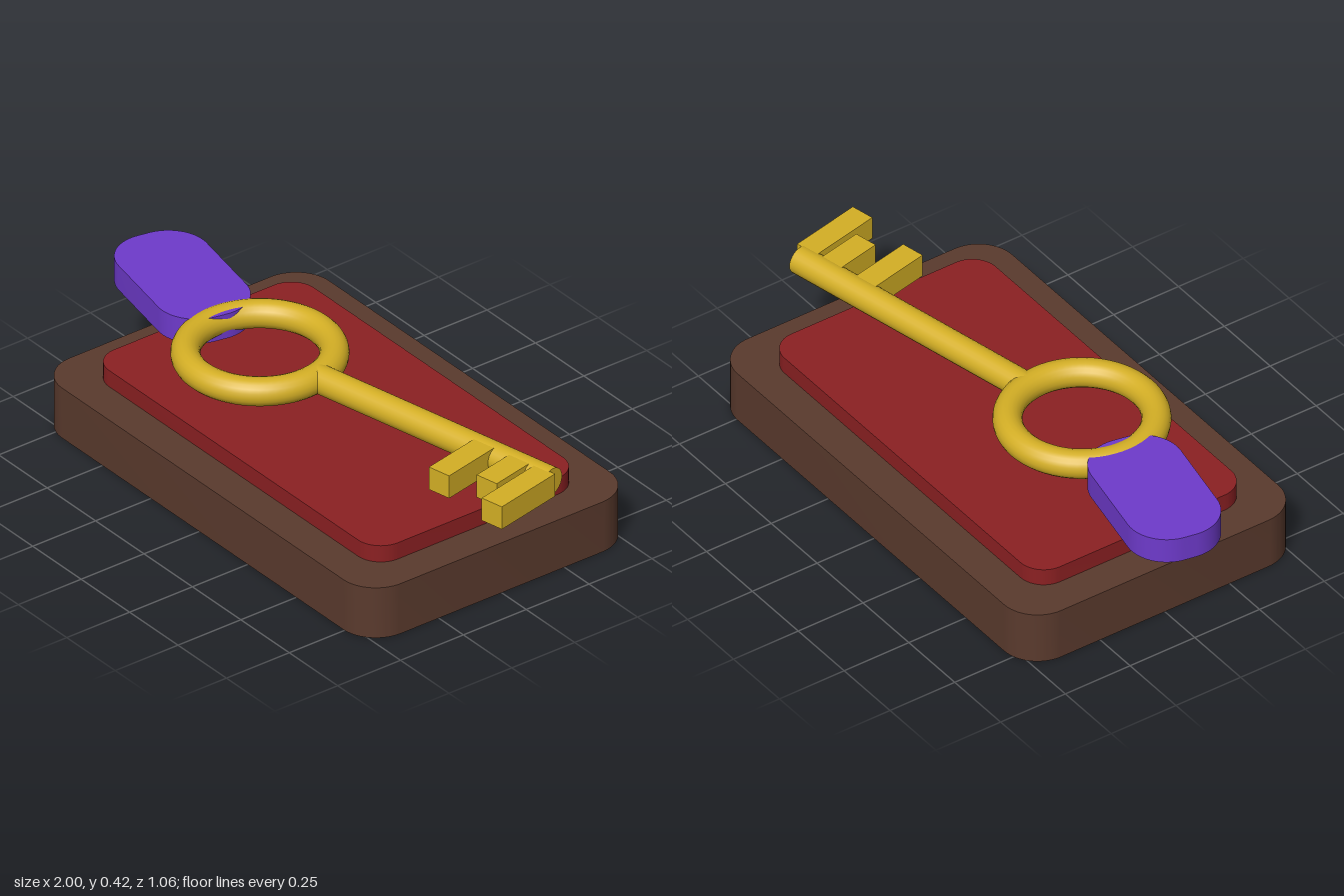
import * as THREE from 'three';
import { toCreasedNormals } from 'three/addons/utils/BufferGeometryUtils.js';

const material = (name, color) => {
  const m = new THREE.MeshStandardMaterial({ color });
  m.name = name;
  return m;
};

// Flat slab with rounded corners, lying in the xz plane with its underside at y = 0
function roundedSlab(width, depth, height, r) {
  const x = width / 2, y = depth / 2;
  const s = new THREE.Shape();
  s.moveTo(-x + r, -y);
  s.absarc(x - r, -y + r, r, -Math.PI / 2, 0);
  s.absarc(x - r, y - r, r, 0, Math.PI / 2);
  s.absarc(-x + r, y - r, r, Math.PI / 2, Math.PI);
  s.absarc(-x + r, -y + r, r, Math.PI, Math.PI * 1.5);
  const g = new THREE.ExtrudeGeometry(s, { depth: height, bevelEnabled: false, curveSegments: 12 });
  g.rotateX(-Math.PI / 2);
  return toCreasedNormals(g, 0.6);
}

export function createModel() {
  const wood = material('brown wood', 0x5a3a2d);
  const velvet = material('red velvet', 0x8b2022);
  const gold = material('gold', 0xd4af25);
  const purple = material('purple', 0x6e3acb);

  const model = new THREE.Group();
  model.name = 'keyOnPlinth';
  const add = (parent, name, geometry, mat, x, y, z) => {
    const mesh = new THREE.Mesh(geometry, mat);
    mesh.name = name;
    mesh.position.set(x, y, z);
    parent.add(mesh);
    return mesh;
  };

  // Plinth and its raised pad
  add(model, 'base', roundedSlab(1.71, 1.06, 0.185, 0.13), wood, 0.018, 0, 0);
  add(model, 'pad', roundedSlab(1.465, 0.815, 0.06, 0.09), velvet, 0.018, 0.185, 0);

  // Key floating above the pad; its local origin is the ring centre, shaft along +x
  const key = new THREE.Group();
  key.name = 'key';
  key.position.set(-0.262, 0.369, 0.087);
  key.rotation.y = 0.213;
  model.add(key);

  const r = 0.0475, ringRadius = 0.235, shaftEnd = 1.206;
  add(key, 'ring', new THREE.TorusGeometry(ringRadius, r, 20, 64).rotateX(Math.PI / 2), gold, 0, 0, 0);
  const shaftLength = shaftEnd - ringRadius;
  add(key, 'shaft', new THREE.CylinderGeometry(r, r, shaftLength, 24).rotateZ(Math.PI / 2), gold,
    ringRadius + shaftLength / 2, 0, 0);

  // Teeth: position along the shaft and reach away from it
  for (const [along, reach] of [[0.939, 0.237], [1.084, 0.176], [1.186, 0.272]]) {
    const start = 0.012;
    add(key, 'tooth', new THREE.BoxGeometry(0.083, 0.083, reach - start), gold,
      along, 0.002, (start + reach) / 2);
  }

  // Tag held on the ring
  const tag = add(model, 'tag', roundedSlab(0.547, 0.31, 0.09, 0.135), purple, -0.727, 0.32, 0.037);
  tag.rotation.y = -0.19;

  return model;
}
